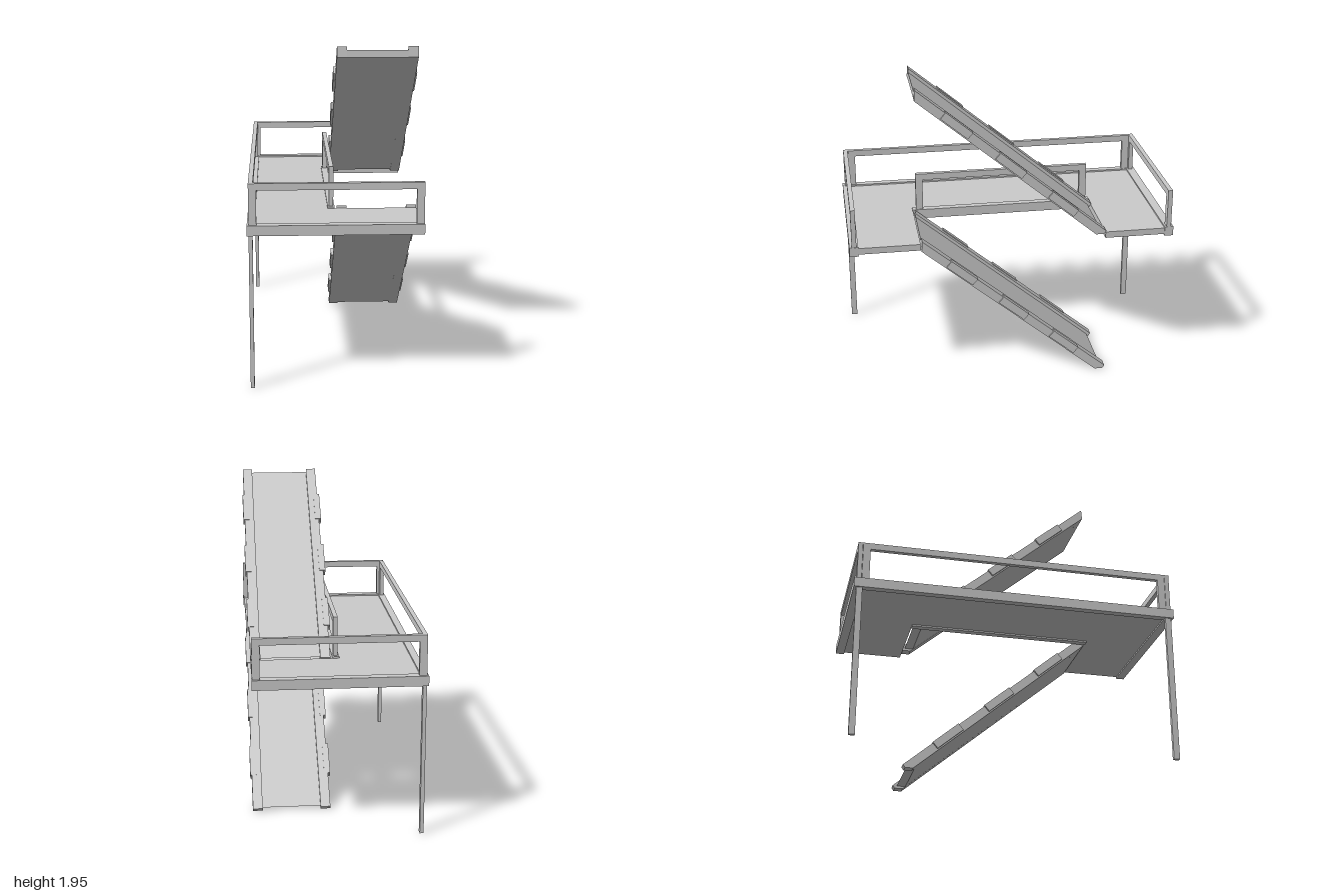
import * as THREE from 'three';

const material = new THREE.MeshStandardMaterial({ color: 0xcccccc, flatShading: true, side: THREE.DoubleSide });

function add(parent, name, geometry) {
  const mesh = new THREE.Mesh(geometry, material);
  mesh.name = name;
  parent.add(mesh);
  return mesh;
}

// Box given by its limits on each axis
function box(parent, name, x0, x1, y0, y1, z0, z1) {
  const mesh = add(parent, name, new THREE.BoxGeometry(x1 - x0, y1 - y0, z1 - z0));
  mesh.position.set((x0 + x1) / 2, (y0 + y1) / 2, (z0 + z1) / 2);
  return mesh;
}

// Side profile of [z, y] points, swept from x0 to x1
function sweep(parent, name, points, x0, x1) {
  const shape = new THREE.Shape(points.map(([z, y]) => new THREE.Vector2(z, y)));
  const geometry = new THREE.ExtrudeGeometry(shape, { depth: x1 - x0, bevelEnabled: false });
  geometry.rotateY(-Math.PI / 2).translate(x1, 0, 0);
  return add(parent, name, geometry);
}

const SLOPE = 0.839;

function createRamp(name) {
  const ramp = new THREE.Group();
  ramp.name = name;

  // Side beams, cut flat at the foot and upright at the head
  const beam = [[0.562, 0.99], [0.567, 0.925], [-0.532, 0.003], [-0.582, 0.003], [-0.595, 0.022]];
  sweep(ramp, 'rampBeamRight', beam, 0.02, 0.08);
  sweep(ramp, 'rampBeamLeft', beam, 0.44, 0.5);

  // Walking surface, a little below the beam tops
  const panel = [[0.564, 0.968], [0.566, 0.924], [-0.515, 0.018], [-0.57, 0.018]];
  sweep(ramp, 'rampPanel', panel, 0.08, 0.44);

  // Raised cladding blocks along the outside of each beam
  for (const x of [0.025, 0.49]) {
    for (const z of [-0.322, 0, 0.322]) {
      const block = add(ramp, 'rampSideBlock', new THREE.BoxGeometry(0.038, 0.05, 0.208));
      block.position.set(x, 0.493 + z * SLOPE, z);
      block.rotation.x = -Math.atan(SLOPE);
    }
  }
  return ramp;
}

export function createModel() {
  const model = new THREE.Group();
  model.name = 'platformWithRamps';
  const railBottom = 0.985, barBottom = 1.187, railTop = 1.227;

  // C-shaped deck around the ramp opening
  const deck = new THREE.Shape([
    [-0.466, -0.946], [0.5, -0.946], [0.5, -0.572], [-0.034, -0.572],
    [-0.034, 0.572], [0.5, 0.572], [0.5, 0.946], [-0.466, 0.946],
  ].map(([x, z]) => new THREE.Vector2(x, z)));
  const deckGeometry = new THREE.ExtrudeGeometry(deck, { depth: 0.04, bevelEnabled: false });
  add(model, 'deck', deckGeometry.rotateX(-Math.PI / 2).translate(0, 0.935, 0));

  // Rim beams on three outer sides, and along the opening
  box(model, 'sideRim', -0.51, -0.466, 0.925, 0.985, -0.946, 0.946);
  box(model, 'openingRim', -0.034, 0.008, 0.925, 0.985, -0.575, 0.575);

  // Guard rails along z: long side and opening
  for (const [name, x0, x1, end] of [['sideRail', -0.5, -0.473, 0.955], ['openingRail', -0.026, 0.001, 0.552]]) {
    const rail = new THREE.Group();
    rail.name = name;
    box(rail, 'topBar', x0, x1, barBottom, railTop, -end, end);
    box(rail, 'post', x0, x1, railBottom, barBottom, end - 0.045, end);
    box(rail, 'post', x0, x1, railBottom, barBottom, -end, -end + 0.045);
    model.add(rail);
  }

  // Ends: rim, guard rail and supporting leg, mirrored front to back
  for (const s of [-1, 1]) {
    const end = new THREE.Group();
    end.name = s > 0 ? 'frontEnd' : 'backEnd';
    const part = (name, x0, x1, y0, y1, z0, z1) =>
      box(end, name, x0, x1, y0, y1, s > 0 ? z0 : -z1, s > 0 ? z1 : -z0);
    part('endRim', -0.51, 0.506, 0.925, 0.985, 0.946, 1);
    part('endRailBar', -0.5, 0.504, barBottom, railTop, 0.957, 0.985);
    part('endRailPost', -0.5, -0.455, railBottom, barBottom, 0.957, 0.985);
    part('endRailPost', 0.459, 0.504, railBottom, barBottom, 0.957, 0.985);
    part('leg', -0.5, -0.477, 0, 0.925, 0.948, 0.985);
    model.add(end);
  }

  // Two identical ramps, one up to the deck and one above it
  model.add(createRamp('lowerRamp'));
  const upper = createRamp('upperRamp');
  upper.position.set(0, 0.96, 0.02);
  model.add(upper);

  return model;
}
